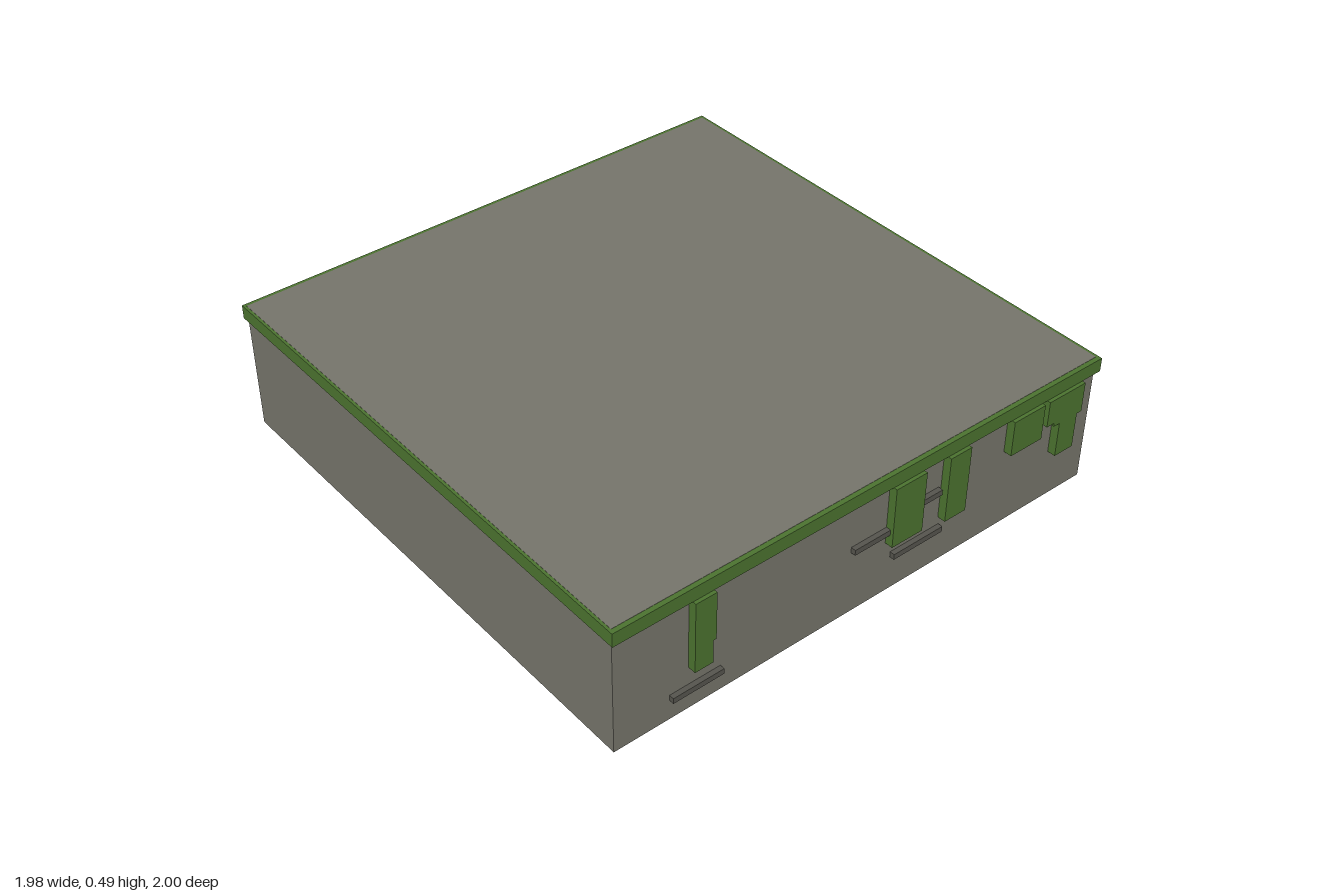
import * as THREE from 'three';

const material = (color) => new THREE.MeshStandardMaterial({ color, flatShading: true });

export function createModel() {
  const group = new THREE.Group();
  const stone = material(0x75746a);
  const grass = material(0x4b722f);
  const darkStone = material(0x55544d);

  // Box given by its minimum and maximum corners
  function box(name, mat, [x0, y0, z0], [x1, y1, z1]) {
    const mesh = new THREE.Mesh(new THREE.BoxGeometry(x1 - x0, y1 - y0, z1 - z0), mat);
    mesh.position.set((x0 + x1) / 2, (y0 + y1) / 2, (z0 + z1) / 2);
    mesh.name = name;
    group.add(mesh);
  }

  // Stone block, its top just proud of the grass layer around it
  box('stoneBlock', stone, [-0.98, 0, -0.987], [0.98, 0.488, 0.97]);
  box('grassLayer', grass, [-0.99, 0.436, -1], [0.99, 0.487, 0.987]);

  // Grass hanging over the front: stepped outlines below the layer
  const top = 0.436;
  const strands = [
    [[-0.705, top], [-0.705, 0.167], [-0.637, 0.167], [-0.637, 0.255], [-0.626, 0.255], [-0.626, top]],
    [[0.074, top], [0.074, 0.205], [0.202, 0.205], [0.202, top]],
    [[0.303, top], [0.303, 0.184], [0.393, 0.184], [0.393, top]],
    [[0.583, top], [0.583, 0.302], [0.722, 0.302], [0.722, top]],
    [[0.743, top], [0.743, 0.337], [0.777, 0.337], [0.777, 0.323], [0.804, 0.323], [0.804, 0.189],
      [0.886, 0.189], [0.886, 0.323], [0.907, 0.323], [0.907, top]],
  ];
  strands.forEach((outline, i) => {
    const shape = new THREE.Shape(outline.map(([x, y]) => new THREE.Vector2(x, y)));
    const geometry = new THREE.ExtrudeGeometry(shape, { depth: 0.032, bevelEnabled: false });
    const mesh = new THREE.Mesh(geometry, grass);
    mesh.position.z = 0.968;
    mesh.name = `hangingGrass${i + 1}`;
    group.add(mesh);
  });

  // Thin stone ledges on the front: left, right and bottom edges
  const ledges = [[-0.775, -0.583, 0.077], [-0.072, 0.13, 0.248], [0.09, 0.292, 0.291], [0.1, 0.308, 0.133]];
  ledges.forEach(([x0, x1, y], i) =>
    box(`stoneLedge${i + 1}`, darkStone, [x0, y, 0.965], [x1, y + 0.021, 0.988]));

  return group;
}
